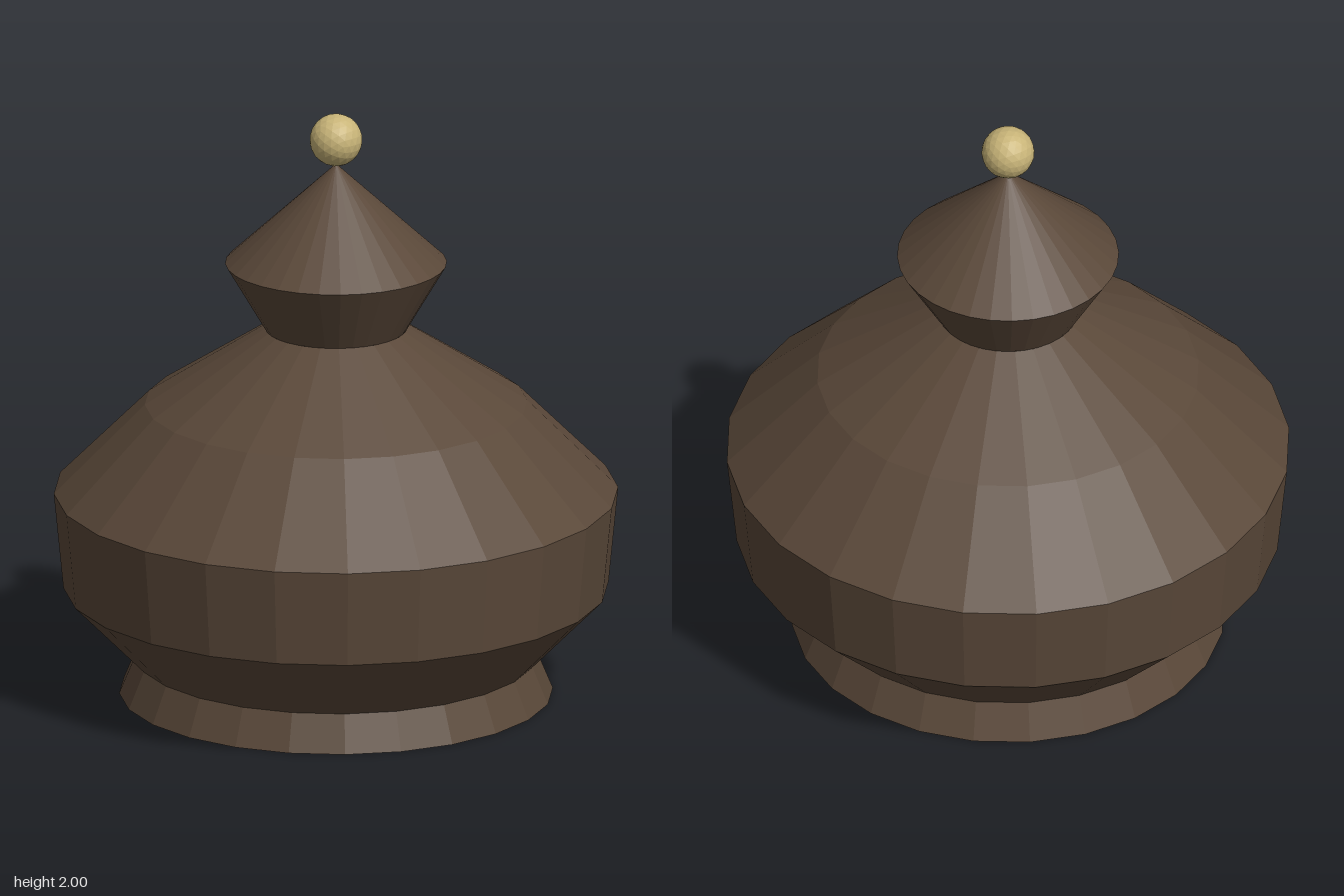
import * as THREE from 'three';

export function createModel() {
  const model = new THREE.Group();
  const brown = new THREE.MeshStandardMaterial({ color: 0x5a4839, flatShading: true, side: THREE.DoubleSide });
  brown.name = 'dark brown';
  const gold = new THREE.MeshStandardMaterial({ color: 0xc8b478, flatShading: true });
  gold.name = 'pale gold';

  // Turns a [radius, height] profile, listed from bottom to top, into a faceted shell
  const turned = (name, profile, sides) => {
    const points = profile.map(([r, y]) => new THREE.Vector2(r, y));
    const mesh = new THREE.Mesh(new THREE.LatheGeometry(points, sides), brown);
    mesh.name = name;
    model.add(mesh);
  };

  // Flared foot ring, open underneath
  turned('foot', [[0.72, 0], [0.668, 0.125]], 24);
  // Hollow belly with sloping shoulders
  turned('belly', [[0.668, 0.125], [0.905, 0.367], [0.937, 0.695]], 24);
  turned('shoulder', [[0.937, 0.695], [0.635, 1.0], [0.235, 1.26]], 24);
  // Flared neck and conical cap
  turned('neck', [[0.235, 1.26], [0.368, 1.487]], 32);
  turned('cap', [[0.368, 1.487], [0, 1.83]], 32);

  // Ball on the tip
  const ball = new THREE.Mesh(new THREE.IcosahedronGeometry(0.088, 3), gold);
  ball.name = 'ball';
  ball.position.y = 1.912;
  model.add(ball);

  return model;
}
